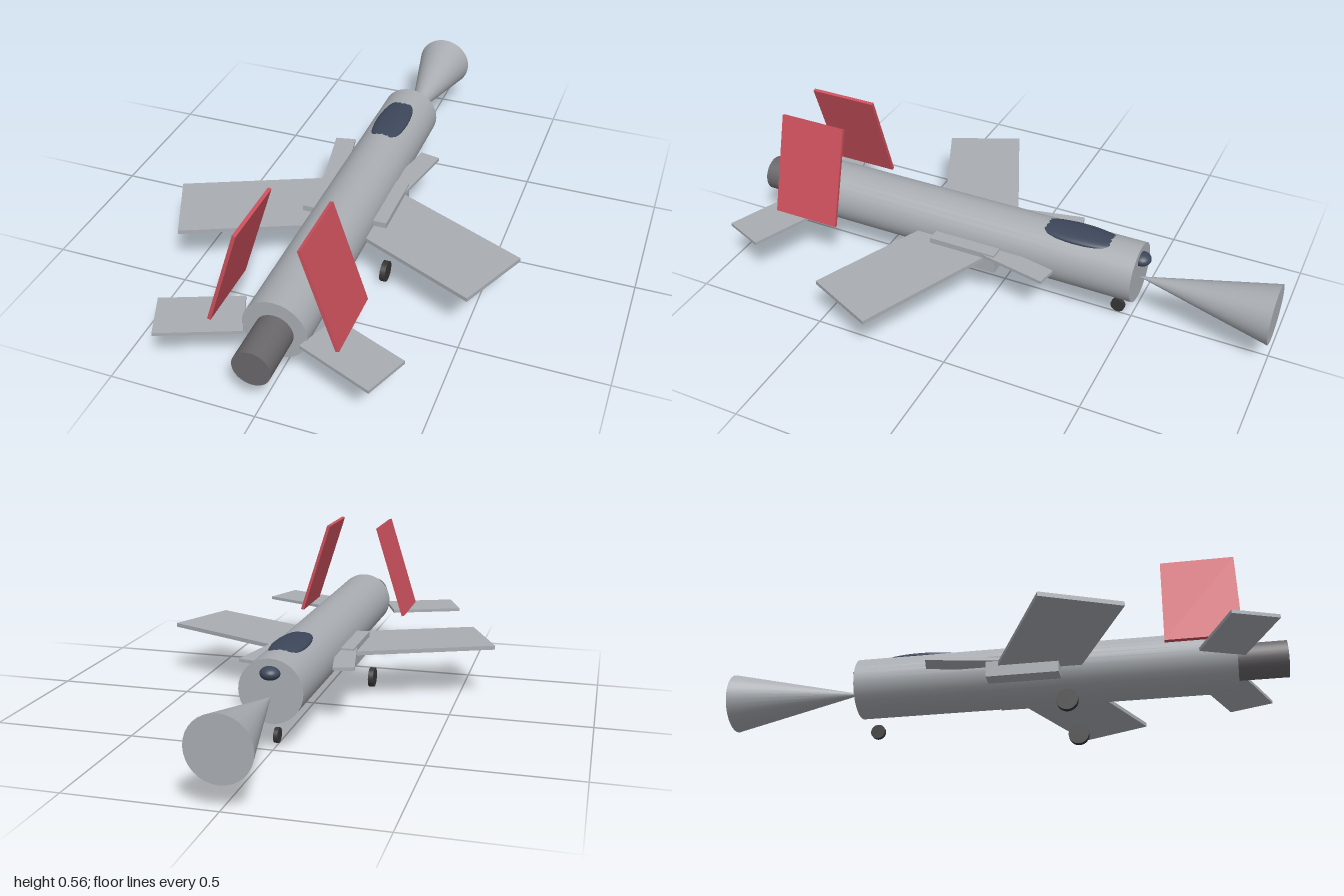
import * as THREE from 'three';

const paint = (name, color) => {
  const m = new THREE.MeshStandardMaterial({ color });
  m.name = name;
  return m;
};

export function createModel() {
  const grey = paint('hull grey', 0xa9adb2);
  const red = paint('fin red', 0xcb505c);
  const steel = paint('nozzle steel', 0x6a676a);
  const glass = paint('canopy glass', 0x3c475a);
  const rubber = paint('tyre rubber', 0x363636);

  const model = new THREE.Group();
  const rad = THREE.MathUtils.degToRad;

  const add = (name, geometry, material, x, y, z) => {
    const mesh = new THREE.Mesh(geometry, material);
    mesh.name = name;
    mesh.position.set(x, y, z);
    model.add(mesh);
    return mesh;
  };
  const box = (w, h, d) => new THREE.BoxGeometry(w, h, d);
  // Cylinder lying along z
  const tube = (r, length) => new THREE.CylinderGeometry(r, r, length, 32).rotateX(Math.PI / 2);
  // Wheel with its axle along x
  const wheel = (r, width) => new THREE.CylinderGeometry(r, r, width, 24).rotateZ(Math.PI / 2);
  const ellipsoid = (rx, ry, rz) => new THREE.SphereGeometry(1, 32, 24).scale(rx, ry, rz);

  // Body along z
  add('fuselage', tube(0.109, 1.346), grey, 0, 0.206, 0.155);
  add('nozzle', tube(0.064, 0.26), steel, 0, 0.201, 0.87);
  add('noseCone', new THREE.ConeGeometry(0.107, 0.485, 32).rotateX(Math.PI / 2), grey, 0, 0.187, -0.7575);
  add('canopy', ellipsoid(0.061, 0.02, 0.175), glass, 0, 0.3, -0.29);
  add('sensorDome', ellipsoid(0.034, 0.023, 0.035), glass, 0, 0.268, -0.52);
  add('noseWheel', wheel(0.026, 0.015), rubber, 0, 0.034, -0.448);

  // Mirrored parts
  for (const side of [1, -1]) {
    const label = side > 0 ? 'left' : 'right';

    const wing = add(label + 'Wing', box(0.56, 0.015, 0.28), grey, side * 0.316, 0.196, 0.242);
    wing.rotation.y = -side * rad(24);

    const tail = add(label + 'Stabilizer', box(0.281, 0.012, 0.164), grey, side * 0.254, 0.19, 0.831);
    tail.rotation.y = -side * rad(22);

    const fin = add(label + 'Fin', box(0.012, 0.373, 0.256), red, side * 0.158, 0.379, 0.719);
    fin.rotation.z = side * rad(17.5);

    add(label + 'Intake', box(0.08, 0.075, 0.255), grey, side * 0.115, 0.187, 0.1);

    const canard = add(label + 'Canard', box(0.075, 0.012, 0.3), grey, side * 0.14, 0.212, -0.09);
    canard.rotation.y = -side * rad(11.5);

    add(label + 'MainWheel', wheel(0.037, 0.02), rubber, side * 0.163, 0.037, 0.255);
  }

  return model;
}
